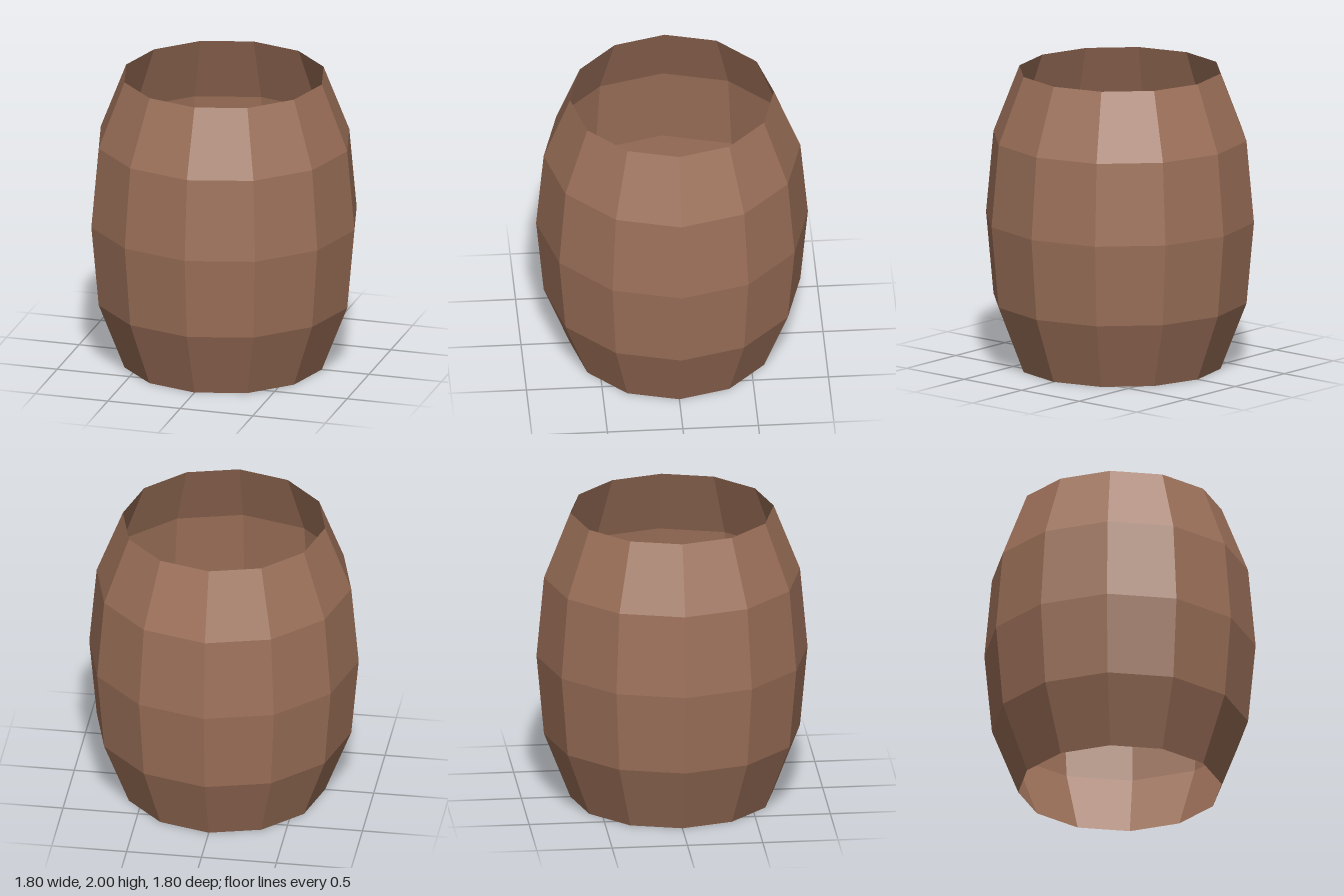
import * as THREE from 'three';

export function createModel() {
  const group = new THREE.Group();
  group.name = 'barrel';

  const wood = new THREE.MeshStandardMaterial({ color: 0x9c7059, flatShading: true, side: THREE.DoubleSide });
  wood.name = 'brown wood';

  // Open twelve-sided barrel wall, bulging at the middle (radius, height)
  const profile = [
    [0.675, 0], [0.85, 0.45], [0.9, 1], [0.85, 1.55], [0.675, 2],
  ].map(([r, y]) => new THREE.Vector2(r, y));

  const wall = new THREE.Mesh(new THREE.LatheGeometry(profile, 12), wood);
  wall.name = 'barrelWall';
  group.add(wall);

  return group;
}
